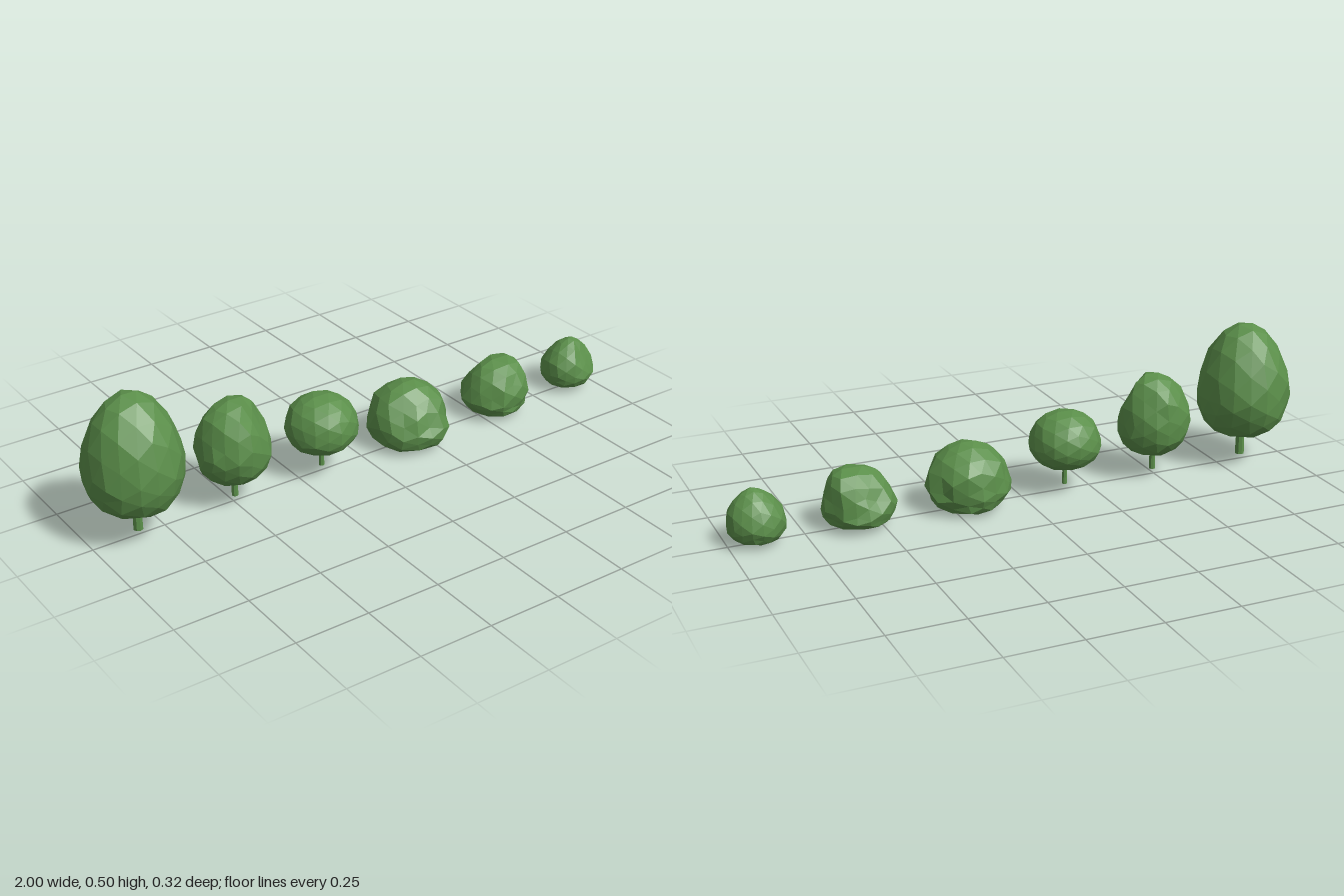
import * as THREE from 'three';

const leaf = new THREE.MeshStandardMaterial({ color: 0x5b8f4a, flatShading: true });

// Each plant swells to its full width at the waist; lower and upper set how
// square (below 1) or pointed (above 1) it gets towards its base and top
const plants = [
  { name: 'tallTree', x: -0.842, width: 0.16, depth: 0.162, base: 0.1, waist: 0.25, top: 0.495,
    lower: 0.6, upper: 1.15, rough: 0.03, trunk: 0.016 },
  { name: 'mediumTree', x: -0.493, width: 0.125, depth: 0.118, base: 0.08, waist: 0.2, top: 0.365,
    lower: 0.7, upper: 1, rough: 0.045, lean: 0.012, dent: [0.55, 0.65, 0.5], trunk: 0.011 },
  { name: 'smallTree', x: -0.16, width: 0.122, depth: 0.12, base: 0.085, waist: 0.165, top: 0.278,
    lower: 0.7, upper: 0.9, rough: 0.025, trunk: 0.009, twig: true },
  { name: 'wideBush', x: 0.192, width: 0.139, depth: 0.138, base: 0, waist: 0.085, top: 0.225,
    lower: 0.4, upper: 1.1, rough: 0.06, dent: [-0.3, 0.5, 0.8] },
  { name: 'flatBush', x: 0.567, width: 0.119, depth: 0.113, base: 0.01, waist: 0.07, top: 0.2,
    lower: 0.45, upper: 0.8, rough: 0.06, lean: 0.02, dent: [-0.2, 0.6, -0.75] },
  { name: 'pointedBush', x: 0.905, width: 0.096, depth: 0.092, base: 0.01, waist: 0.07, top: 0.185,
    lower: 0.5, upper: 1.45, rough: 0.03, lean: 0.008, dent: [0.4, 0.5, 0.75] },
];

// Repeatable noise in -1..1, equal for coincident corners
function noise(p, seed) {
  const s = Math.sin(p.x * 12.99 + p.y * 78.23 + p.z * 37.72 + seed * 11.13) * 437.58;
  return 2 * (s - Math.floor(s)) - 1;
}

// Faceted ball reshaped into foliage
function crownGeometry({ width, depth, base, waist, top, lower, upper, rough, lean = 0, dent }, seed) {
  const geo = new THREE.IcosahedronGeometry(1, 2);
  const pos = geo.attributes.position;
  const dir = new THREE.Vector3();
  const hollow = dent && new THREE.Vector3(...dent).normalize();
  const highest = 0.9794; // height of the ball's uppermost corners
  for (let i = 0; i < pos.count; i++) {
    dir.fromBufferAttribute(pos, i).normalize();
    const rise = dir.y / highest;
    const around = Math.hypot(dir.x, dir.z);
    const sink = hollow ? 0.12 * THREE.MathUtils.smoothstep(hollow.dot(dir), 0.8, 0.97) : 0;
    const spread = Math.pow(around, (rise < 0 ? lower : upper) - 1) * (1 + rough * noise(dir, seed) - sink);
    const wobble = rough * noise(dir, seed + 20) * (1 - rise * rise);
    const height = (rise < 0 ? waist - base : top - waist) * (rise + wobble - sink);
    pos.setXYZ(i,
      dir.x * spread * width + lean * Math.max(rise, 0) ** 2,
      waist + height,
      dir.z * spread * depth);
  }
  geo.computeVertexNormals();
  return geo;
}

function addMesh(parent, name, geo) {
  const mesh = new THREE.Mesh(geo, leaf);
  mesh.name = name;
  parent.add(mesh);
  return mesh;
}

export function createModel() {
  const model = new THREE.Group();
  model.name = 'treesAndBushes';
  plants.forEach((plant, index) => {
    const group = new THREE.Group();
    group.name = plant.name;
    group.position.x = plant.x;
    model.add(group);
    addMesh(group, 'crown', crownGeometry(plant, index + 1));

    // Trunk reaches a little way into the crown
    if (plant.trunk) {
      const foot = 0.02, head = plant.base + 0.03;
      const trunk = addMesh(group, 'trunk',
        new THREE.CylinderGeometry(plant.trunk * 0.9, plant.trunk, head - foot, 8));
      trunk.position.y = (foot + head) / 2;
    }
    // Short side branch
    if (plant.twig) {
      const twig = addMesh(group, 'branch', new THREE.CylinderGeometry(0.004, 0.005, 0.045, 6));
      twig.position.set(0.016, 0.08, 0);
      twig.rotation.z = -0.8;
    }
  });
  return model;
}
